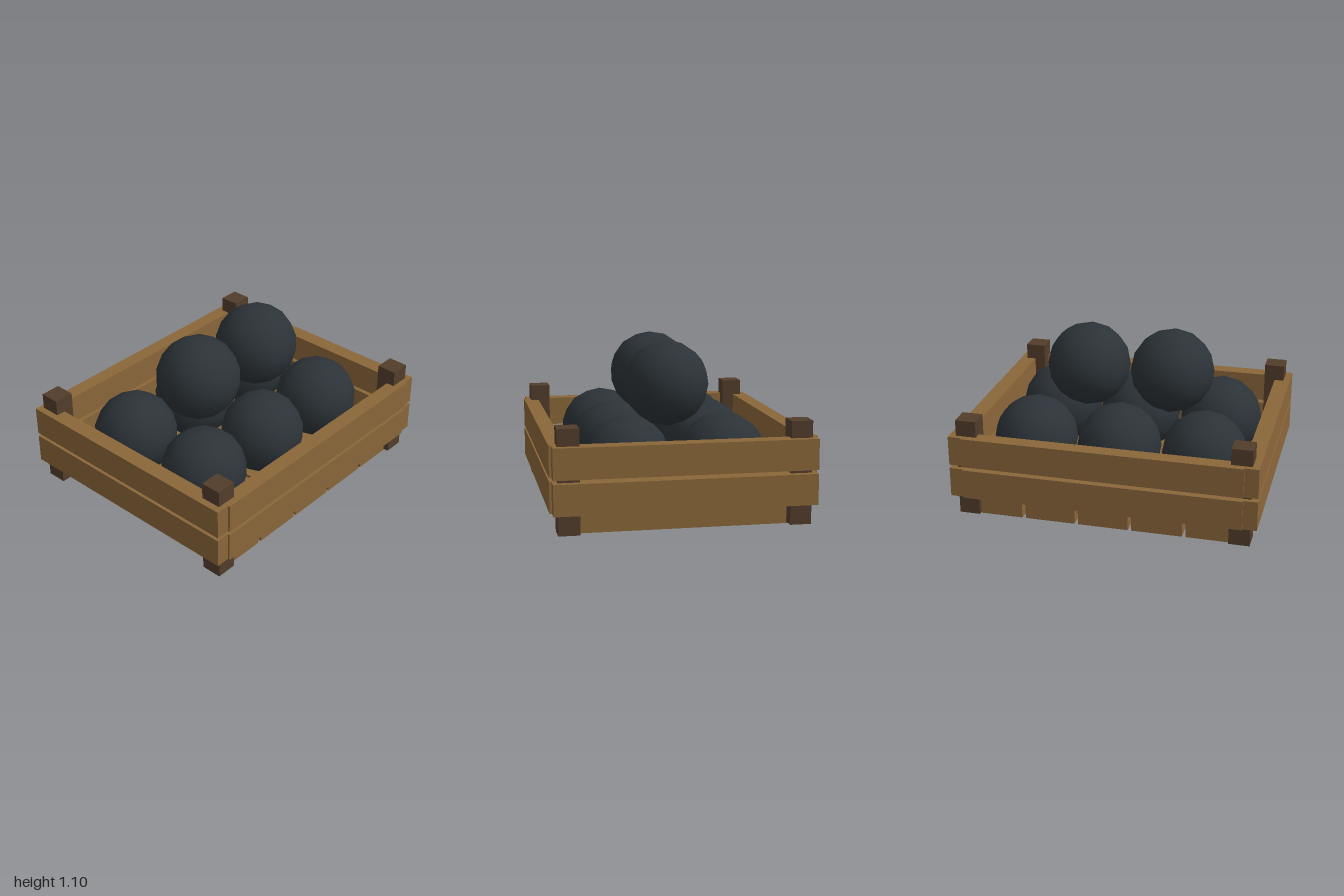
import * as THREE from 'three';

export function createModel() {
  const model = new THREE.Group();
  model.name = 'crateOfBalls';

  const plankMat = new THREE.MeshStandardMaterial({ color: 0x8b673a });
  const postMat = new THREE.MeshStandardMaterial({ color: 0x523d2b });
  const ballMat = new THREE.MeshStandardMaterial({ color: 0x2c3338 });

  const add = (name, geometry, material, x, y, z) => {
    const mesh = new THREE.Mesh(geometry, material);
    mesh.name = name;
    mesh.position.set(x, y, z);
    model.add(mesh);
  };

  // Five floor planks running front to back
  const floorGeo = new THREE.BoxGeometry(0.33, 0.12, 1.505);
  for (let i = -2; i <= 2; i++) add('floorPlank', floorGeo, plankMat, i * 0.353, 0.06, 0);

  // Two rows of wall planks on all four sides
  const longGeo = new THREE.BoxGeometry(1.82, 0.196, 0.1);
  const sideGeo = new THREE.BoxGeometry(0.107, 0.196, 1.64);
  for (const y of [0.239, 0.459]) {
    for (const s of [-1, 1]) {
      add(s > 0 ? 'frontPlank' : 'backPlank', longGeo, plankMat, 0, y, s * 0.785);
      add(s > 0 ? 'leftPlank' : 'rightPlank', sideGeo, plankMat, s * 0.9465, y, 0);
    }
  }

  // Corner posts
  const postGeo = new THREE.BoxGeometry(0.135, 0.654, 0.135);
  for (const sx of [-1, 1])
    for (const sz of [-1, 1]) add('cornerPost', postGeo, postMat, sx * 0.888, 0.337, sz * 0.722);

  // Balls: a layer of six with two stacked on top
  const ballGeo = new THREE.IcosahedronGeometry(0.279, 2);
  for (const x of [-0.573, 0, 0.573])
    for (const z of [-0.311, 0.311]) add('lowerBall', ballGeo, ballMat, x, 0.391, z);
  for (const x of [-0.287, 0.287]) add('upperBall', ballGeo, ballMat, x, 0.823, 0);

  return model;
}
